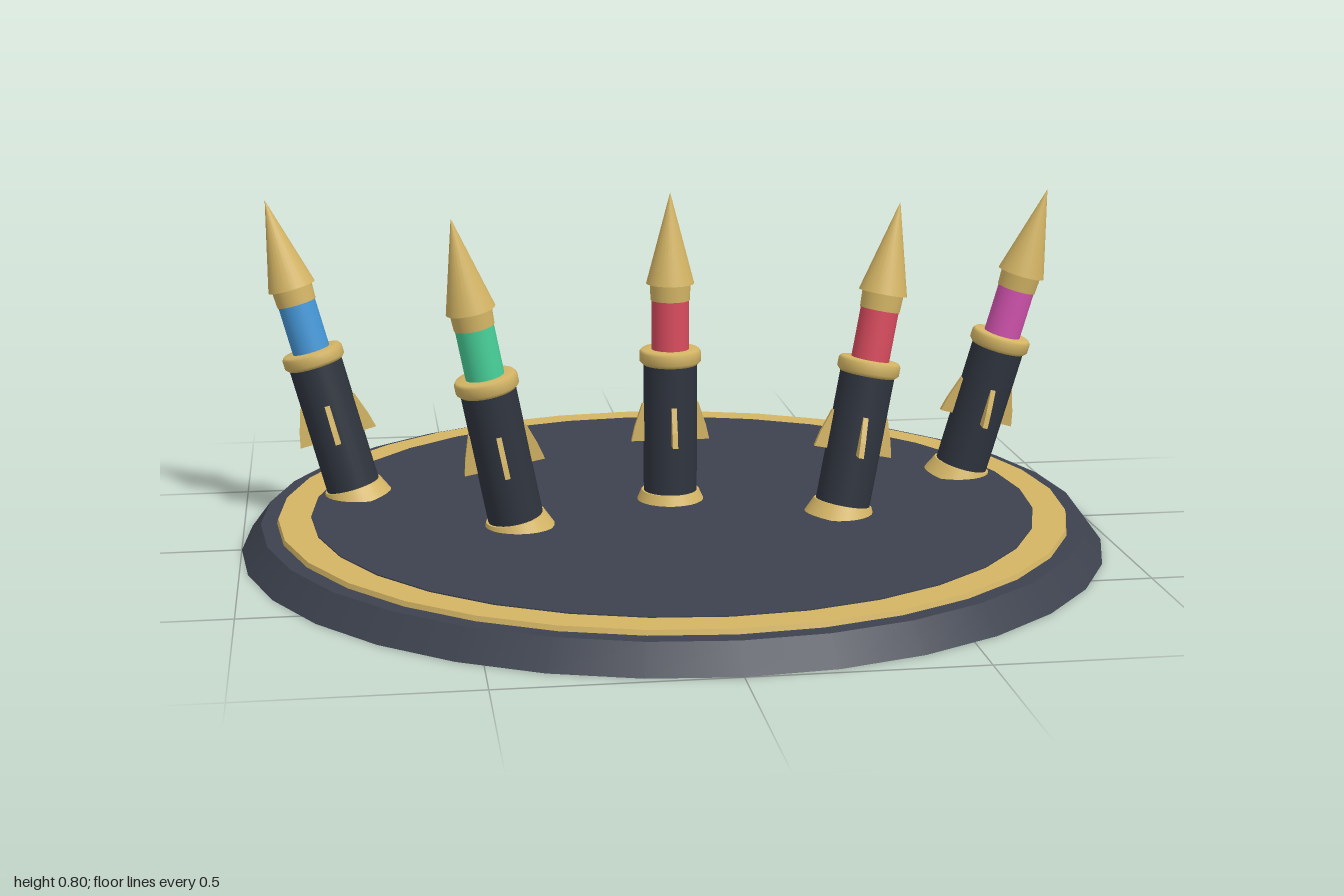
import * as THREE from 'three';

const paint = (name, color) => {
  const m = new THREE.MeshStandardMaterial({ color });
  m.name = name;
  return m;
};

export function createModel() {
  const gold = paint('gold', 0xd4b565);
  const slate = paint('slate', 0x3d424e);
  const charcoal = paint('charcoal', 0x2f343e);
  const red = paint('red', 0xd94c5e);
  const green = paint('green', 0x48cf98);
  const blue = paint('blue', 0x4698d8);
  const magenta = paint('magenta', 0xd655b2);

  const model = new THREE.Group();
  model.name = 'rocketDisplay';

  const add = (parent, name, geometry, material) => {
    const mesh = new THREE.Mesh(geometry, material);
    mesh.name = name;
    parent.add(mesh);
    return mesh;
  };
  // Tapered drum given by its bottom and top radius and height
  const drum = (parent, name, r0, r1, y0, y1, material, sides = 24) => {
    const mesh = add(parent, name, new THREE.CylinderGeometry(r1, r0, y1 - y0, sides), material);
    mesh.position.y = (y0 + y1) / 2;
    return mesh;
  };

  // Round base with bevelled rim, gold disc and dark inlay
  drum(model, 'base', 1, 0.955, 0, 0.06, slate, 32);
  drum(model, 'goldDisc', 0.918, 0.915, 0.06, 0.071, gold, 32);
  drum(model, 'inlay', 0.84, 0.84, 0.071, 0.0735, slate, 32);

  // Swept fin outline, x pointing away from the tube
  const finShape = new THREE.Shape([
    [0.05, 0.145], [0.092, 0.145], [0.084, 0.18], [0.066, 0.235], [0.05, 0.235],
  ].map(([x, y]) => new THREE.Vector2(x, y)));
  const finGeometry = new THREE.ExtrudeGeometry(finShape, { depth: 0.012, bevelEnabled: false });
  finGeometry.translate(0, 0, -0.006);

  // Collar with an open centre around the coloured sleeve
  const collarProfile = [
    [0.044, 0.328], [0.064, 0.328], [0.072, 0.336], [0.072, 0.357], [0.067, 0.364], [0.044, 0.364],
  ].map(([x, y]) => new THREE.Vector2(x, y));

  // One launcher; lean is the sideways and forward travel of the tip
  const launcher = (name, x, z, leanX, leanZ, colour) => {
    const g = new THREE.Group();
    g.name = name;
    drum(g, 'foot', 0.084, 0.068, -0.01, 0.025, gold);
    drum(g, 'tube', 0.063, 0.063, 0.01, 0.335, charcoal);
    add(g, 'collar', new THREE.LatheGeometry(collarProfile, 24), gold);
    drum(g, 'sleeve', 0.044, 0.044, 0.33, 0.485, colour);
    drum(g, 'neckBand', 0.046, 0.048, 0.48, 0.527, gold);
    const nose = add(g, 'noseCone', new THREE.ConeGeometry(0.056, 0.212, 24), gold);
    nose.position.y = 0.625;
    for (let i = 0; i < 4; i++) {
      add(g, 'fin', finGeometry, gold).rotation.y = i * Math.PI / 2;
    }
    const length = 0.731;
    const axis = new THREE.Vector3(leanX, Math.sqrt(length ** 2 - leanX ** 2 - leanZ ** 2), leanZ);
    g.quaternion.setFromUnitVectors(new THREE.Vector3(0, 1, 0), axis.normalize());
    g.position.set(x, 0.071, z);
    model.add(g);
  };

  launcher('outerRightLauncher', -0.735, -0.185, -0.19, -0.035, blue);
  launcher('innerRightLauncher', -0.375, 0.135, -0.14, 0.04, green);
  launcher('centreLauncher', 0, -0.04, 0, 0, red);
  launcher('innerLeftLauncher', 0.375, 0.13, 0.14, -0.055, red);
  launcher('outerLeftLauncher', 0.735, -0.175, 0.19, 0.04, magenta);

  return model;
}
